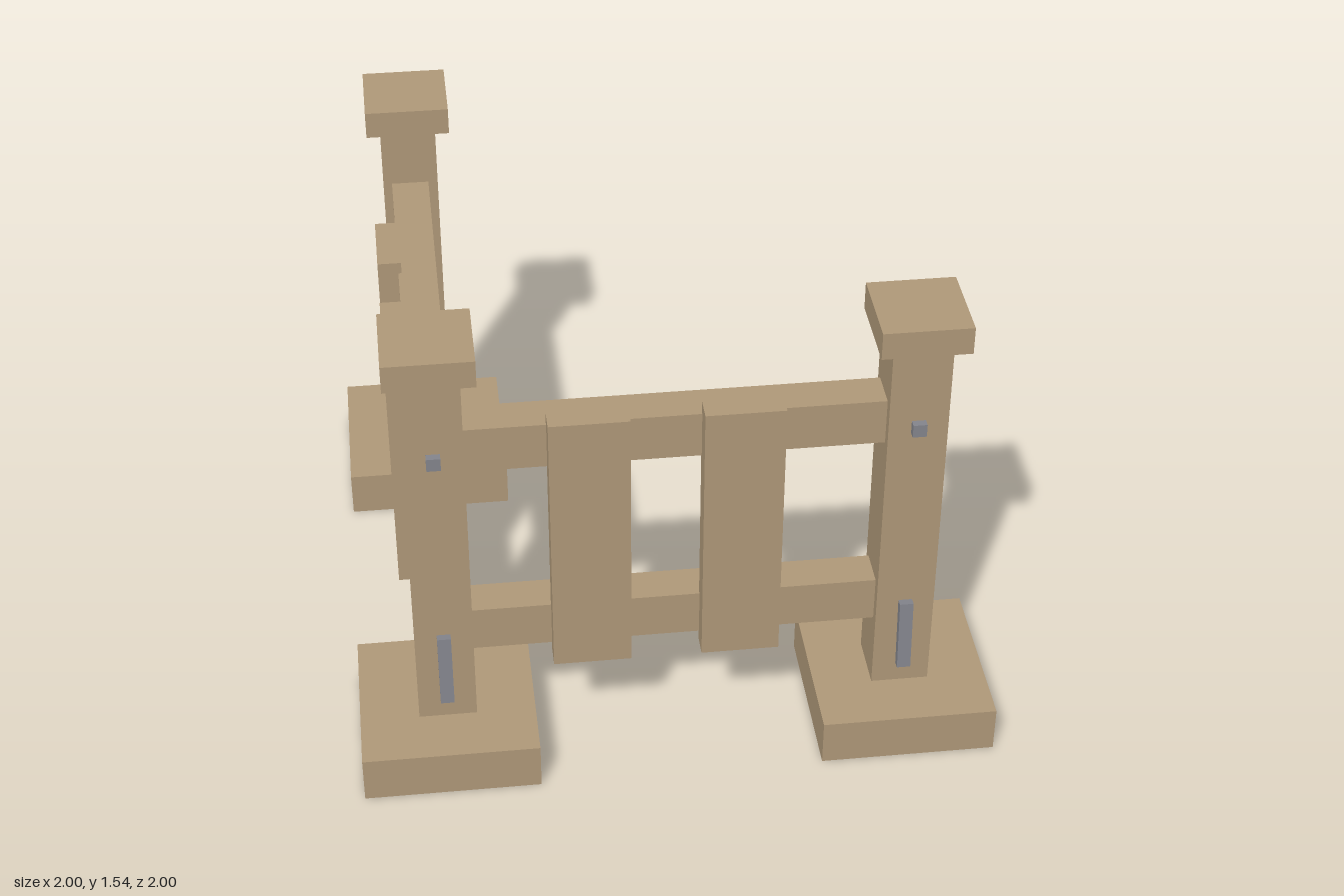
import * as THREE from 'three';

const wood = new THREE.MeshStandardMaterial({ color: 0xb09979 });
wood.name = 'wood';
const metal = new THREE.MeshStandardMaterial({ color: 0x84858d });
metal.name = 'metal';

function box(name, size, pos, material = wood) {
  const mesh = new THREE.Mesh(new THREE.BoxGeometry(...size), material);
  mesh.name = name;
  mesh.position.set(...pos);
  return mesh;
}

// Post with footing, cap and metal fittings on its front face
function createPost(x, z) {
  const post = new THREE.Group();
  post.name = 'post';
  post.position.set(x, 0, z);
  const bar = box('metalBar', [0.043, 0.245, 0.027], [0, 0.367, 0.113], metal);
  bar.rotation.x = -0.08; // lower end leans outwards
  post.add(
    box('footing', [0.553, 0.155, 0.553], [0, 0.0775, 0]),
    box('shaft', [0.182, 1.295, 0.182], [0, 0.8025, 0]),
    box('cap', [0.272, 0.09, 0.272], [0, 1.495, 0]),
    box('peg', [0.043, 0.043, 0.05], [0, 1.165, 0.091], metal),
    bar
  );
  return post;
}

// Two rails and two planks running along x, planks on the +z side
function createPanel(name) {
  const panel = new THREE.Group();
  panel.name = name;
  for (const y of [0.472, 1.165]) {
    panel.add(box('rail', [1.3, 0.153, 0.122], [0, y, 0]));
  }
  for (const x of [-0.265, 0.198]) {
    panel.add(box('plank', [0.243, 0.92, 0.075], [x, 0.82, 0.088]));
  }
  return panel;
}

export function createModel() {
  const model = new THREE.Group();
  model.name = 'cornerFence';

  // Corner post and the two end posts
  const p = 0.7235;
  model.add(createPost(-p, p), createPost(p, p), createPost(-p, -p));

  // Front panel
  const front = createPanel('frontPanel');
  front.position.z = 0.72;
  model.add(front);

  // Side panel, planks facing -x
  const side = createPanel('sidePanel');
  side.rotation.y = -Math.PI / 2;
  side.position.set(-0.725, 0, 0.063);
  // Rails stay centred between the posts
  side.children.forEach((m) => { if (m.name === 'rail') m.position.x = -0.063; });
  model.add(side);

  return model;
}
